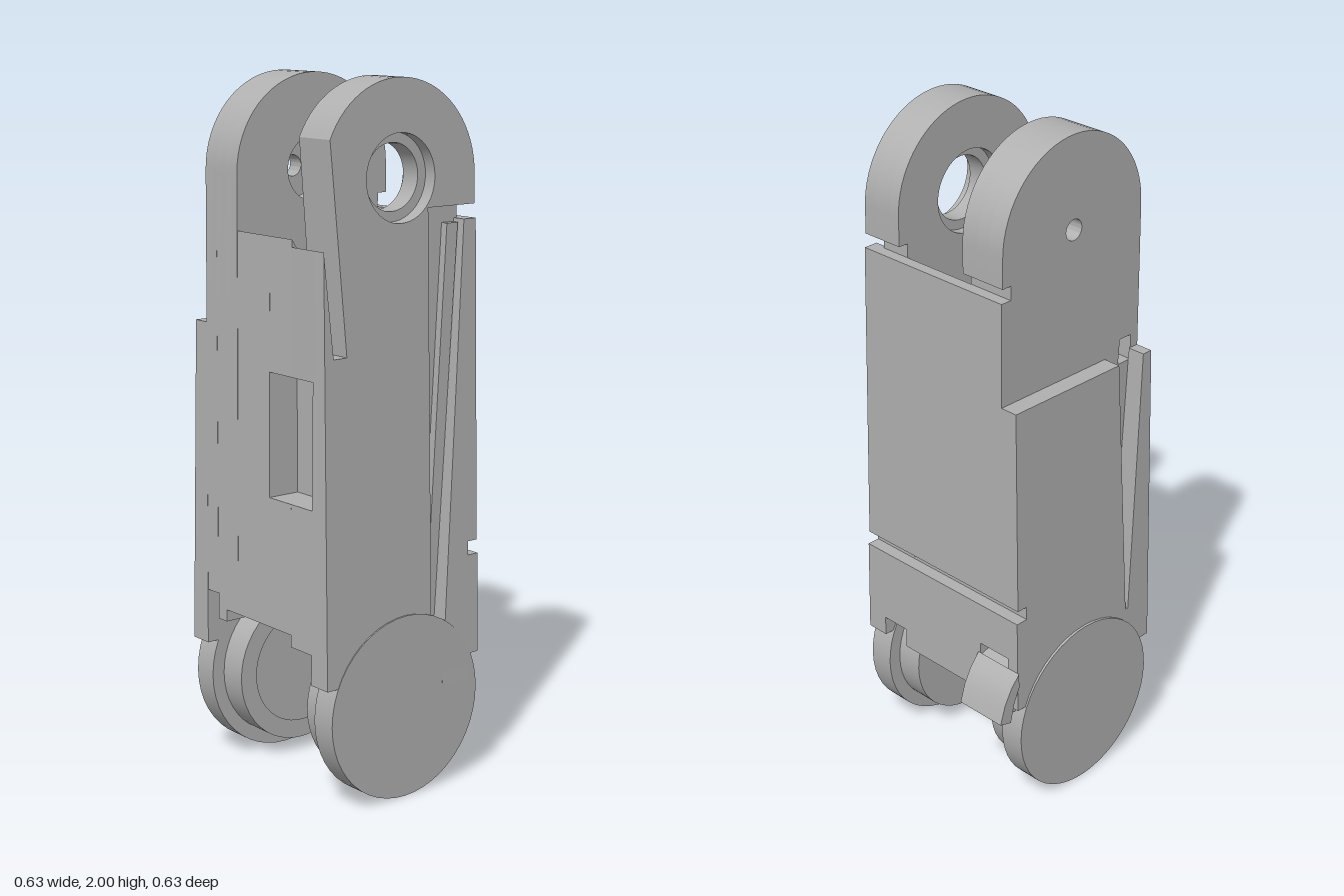
import * as THREE from 'three';
import { toCreasedNormals } from 'three/addons/utils/BufferGeometryUtils.js';

const CZ = 0.035, TOP = 1.735, LOW = 0.265; // pin axis depth, upper and lower pin heights

// Arc points [z, y] around a pin axis
function arc(cy, r, a0, a1, n = 32) {
  return Array.from({ length: n + 1 }, (_, i) => {
    const a = a0 + (a1 - a0) * i / n;
    return [CZ + r * Math.cos(a), cy + r * Math.sin(a)];
  });
}
const circle = (cy, r) => arc(cy, r, 0, Math.PI * 2, 48).slice(0, 48);
const toShape = (pts) => new THREE.Shape(pts.map(([a, b]) => new THREE.Vector2(a, b)));

export function createModel() {
  const group = new THREE.Group();
  const grey = new THREE.MeshStandardMaterial({ color: 0xb0b0b0 });
  grey.name = 'plain grey';

  function add(name, geometry) {
    const mesh = new THREE.Mesh(toCreasedNormals(geometry, 0.5), grey);
    mesh.name = name;
    group.add(mesh);
  }
  // Side profile of [z, y] points extruded from x0 to x1, outer face optionally tapered
  function slab(name, pts, holes, x0, x1, taper) {
    const flip = (list) => list.map(([z, y]) => [-z, y]);
    const shape = toShape(flip(pts));
    shape.holes = holes.map((h) => toShape(flip(h)));
    const g = new THREE.ExtrudeGeometry(shape, { depth: x1 - x0, bevelEnabled: false });
    g.rotateY(Math.PI / 2).translate(x0, 0, 0);
    if (taper) {
      const p = g.attributes.position;
      for (let i = 0; i < p.count; i++) {
        if (Math.abs(p.getX(i)) > 0.25) p.setX(i, taper(p.getY(i)));
      }
    }
    add(name, g);
  }
  // Outline of [x, y] points extruded along z
  function plate(name, pts, holes, z0, z1) {
    const shape = toShape(pts);
    shape.holes = holes.map(toShape);
    add(name, new THREE.ExtrudeGeometry(shape, { depth: z1 - z0, bevelEnabled: false }).translate(0, 0, z0));
  }
  function box(name, x0, x1, y0, y1, z0, z1) {
    add(name, new THREE.BoxGeometry(x1 - x0, y1 - y0, z1 - z0)
      .translate((x0 + x1) / 2, (y0 + y1) / 2, (z0 + z1) / 2));
  }

  // Profile pieces, running up the back, over the top, down the front and along the bottom
  const armBack = [[-0.2, 1.65], [-0.23, 1.65]];
  const fullTop = [...armBack, ...arc(TOP, 0.265, Math.PI, 0)];
  const cutFront = [[0.23, 1.275], [0.275, 1.275], [0.302, 1.56]];
  const cutTop = [...armBack, ...arc(TOP, 0.265, Math.PI, 0.438), ...cutFront];
  const floorTop = arc(TOP, 0.307, -2.443, -0.529);
  const pocket = [[0.304, 1.21], [0.21, 1.21], [0.21, 0.86], [0.308, 0.86]];
  const archBottom = [[0.312, 0.49], ...arc(LOW, 0.29, 0.888, 2.515)];
  const flatBottom = [[0.312, 0.455], [-0.2, 0.455]];
  const notchBottom = [[0.312, 0.53], [0.25, 0.53], [0.25, 0.455], [-0.2, 0.455]];
  const slot = [[0.225, 1.275], [0.275, 1.275], [0.275, 1.35], [0.23, 1.35]];

  // Right arm: small pin hole outside, wider recess inside
  slab('rightArmOuter', [...fullTop, ...notchBottom], [circle(TOP, 0.03), slot], -0.24, -0.19);
  slab('rightArmMiddle', [...fullTop, ...flatBottom], [circle(TOP, 0.09), slot], -0.19, -0.15);
  slab('rightArmInner', [...fullTop, ...archBottom], [circle(TOP, 0.09), slot], -0.15, -0.095);

  // Body between the arms, hollowed above and below to clear the pins
  slab('bodyCentre', [...floorTop, ...archBottom], [slot], -0.095, 0.05);
  slab('bodyPocket', [...floorTop, ...pocket, ...archBottom], [slot], 0.05, 0.147);

  // Left arm with a stepped bore
  slab('leftArmInner', [...cutTop, ...pocket, ...flatBottom], [circle(TOP, 0.12)], 0.147, 0.18);
  slab('leftArmLip', [...cutTop, ...pocket, ...flatBottom], [circle(TOP, 0.092)], 0.18, 0.24);

  // Left side skin, with an open channel behind it
  const leftX = (y) => 0.272 + (2 - y) * 0.024;
  slab('leftSkin', [[-0.06, 0.37], [-0.06, 1.65], [-0.23, 1.65],
    ...arc(TOP, 0.265, Math.PI, 0.438), ...cutFront, [0.315, 0.37]],
  [circle(TOP, 0.12)], 0.24, 0.28, leftX);
  slab('leftRearSkin', [[-0.19, 1.61], [-0.2, 1.61], [-0.2, 0.3], [-0.1, 0.3]], [], 0.24, 0.28, leftX);
  slab('channelBar', [[-0.145, 1.6], [-0.185, 1.6], [-0.1, 0.3], [-0.08, 0.2], [-0.075, 0.4]],
    [], 0.225, 0.262);

  // Right side skin with a narrowing groove near the front
  slab('rightSkin', [[-0.2, 0.37], [-0.2, 1.31], [0.17, 1.31], [0.215, 0.5], [0.225, 0.5],
    [0.27, 1.31], [0.303, 1.31], [0.315, 0.37]], [], -0.29, -0.24,
  (y) => -0.293 - (1.31 - y) * 0.018);

  // Back panels, separated by a gap
  plate('upperBackPanel', [[-0.24, 1.61], [-0.24, 1.31], [-0.293, 1.31], [-0.304, 0.7],
    [0.303, 0.7], [0.281, 1.61]], [], -0.234, -0.2);
  plate('lowerBackPanel', [[-0.305, 0.66], [-0.31, 0.37], [-0.14, 0.37], [0.15, 0.37],
    [0.15, 0.43], [0.24, 0.43], [0.24, 0.37], [0.31, 0.37], [0.304, 0.66]],
  [[[-0.27, 0.42], [-0.16, 0.42], [-0.16, 0.53], [-0.27, 0.53]]], -0.238, -0.2);

  // Lower bearing rings, stepped on each side
  slab('leftInnerRing', circle(LOW, 0.225), [circle(LOW, 0.12)], 0.152, 0.235);
  slab('leftOuterRing', circle(LOW, 0.265), [circle(LOW, 0.12)], 0.235, 0.312);
  slab('rightInnerRing', circle(LOW, 0.225), [circle(LOW, 0.17)], -0.24, -0.155);
  slab('rightOuterRing', circle(LOW, 0.265), [circle(LOW, 0.12)], -0.315, -0.24);

  // Small block under the body
  box('lowerBlock', 0, 0.147, 0.425, 0.47, -0.2, -0.12);

  // Latch on the back: narrow stem with a wider curved cap
  slab('latchStem', [[-0.2, 0.5], [-0.235, 0.49], [-0.262, 0.44], [-0.28, 0.36], [-0.2, 0.34]],
    [], -0.28, -0.16);
  slab('latchCap', [[-0.24, 0.5], [-0.27, 0.465], [-0.295, 0.42], [-0.313, 0.362],
    [-0.272, 0.35], [-0.258, 0.41], [-0.238, 0.455]], [], -0.315, -0.155);

  return group;
}
